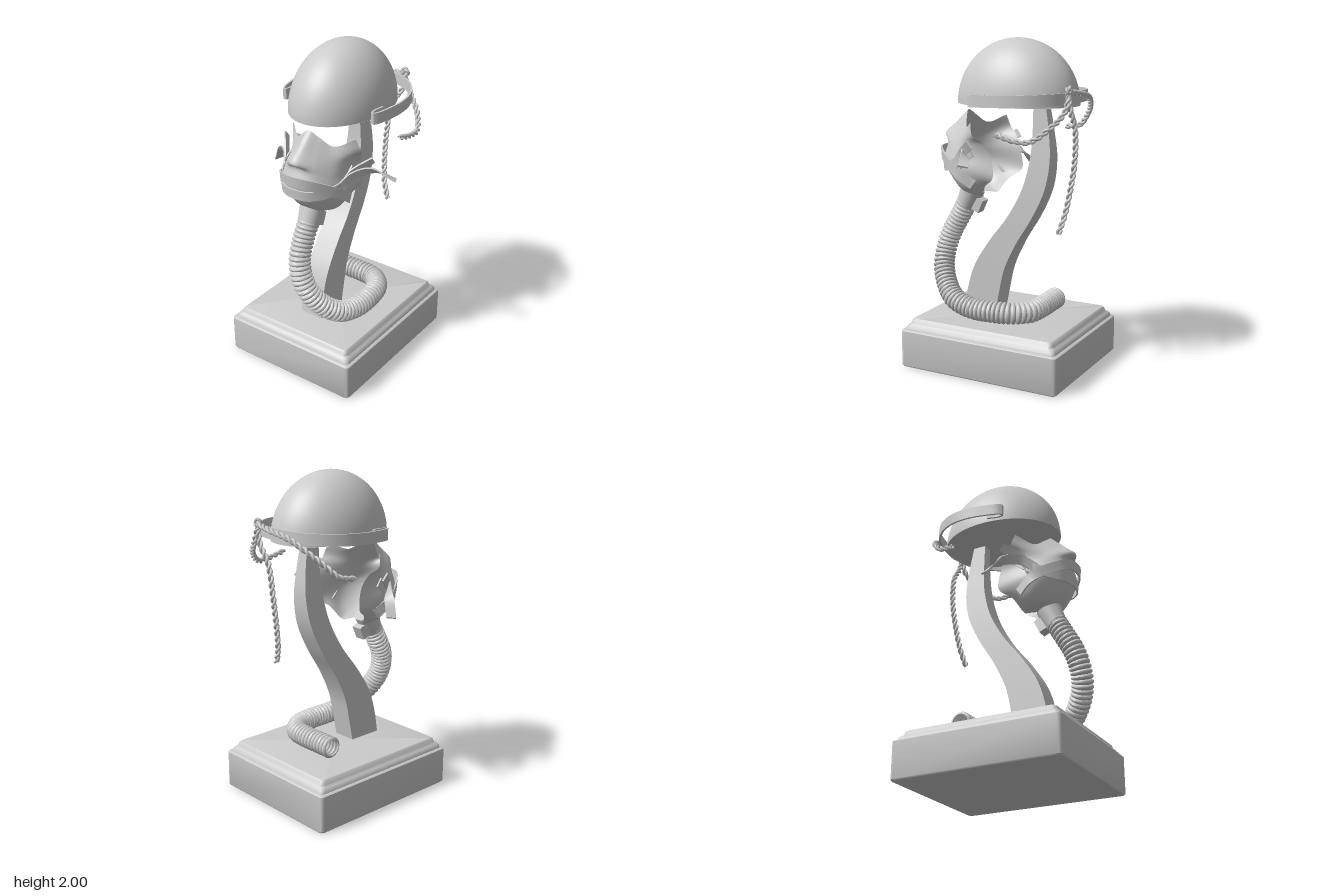
import * as THREE from 'three';
import { toCreasedNormals } from 'three/addons/utils/BufferGeometryUtils.js';

const V = (x, y, z) => new THREE.Vector3(x, y, z);
const material = new THREE.MeshStandardMaterial({ color: 0xcccccc, side: THREE.DoubleSide });
const spline = pts => new THREE.CatmullRomCurve3(pts.map(p => p.isVector3 ? p : V(...p)));

function add(parent, name, geometry) {
  const mesh = new THREE.Mesh(geometry, material);
  mesh.name = name;
  parent.add(mesh);
  return mesh;
}

// Skin a series of point rings; capped ends collapse to their centre
function loft(rings, { closed = true, capped = false, crease = 0.7 } = {}) {
  if (capped) {
    const cap = ring => {
      const c = V(0, 0, 0);
      ring.forEach(p => c.addScaledVector(p, 1 / ring.length));
      return ring.map(() => c);
    };
    rings = [cap(rings[0]), ...rings, cap(rings[rings.length - 1])];
  }
  const n = rings[0].length, index = [];
  for (let i = 0; i < rings.length - 1; i++) {
    for (let j = 0; j < (closed ? n : n - 1); j++) {
      const k = (j + 1) % n, a = i * n + j, b = i * n + k;
      index.push(a, b, b + n, a, b + n, a + n);
    }
  }
  const geometry = new THREE.BufferGeometry().setFromPoints(rings.flat());
  geometry.setIndex(index);
  return toCreasedNormals(geometry, crease);
}

// Flat band along a path, its width direction turning from up0 to up1
function ribbon(pts, width, up0 = V(0, 1, 0), up1 = up0, thick = 0.01, steps = 48) {
  const curve = spline(pts), rings = [];
  for (let i = 0; i <= steps; i++) {
    const p = curve.getPointAt(i / steps), t = curve.getTangentAt(i / steps);
    const u = up0.clone().lerp(up1, i / steps);
    u.addScaledVector(t, -u.dot(t)).normalize();
    const n = t.clone().cross(u);
    rings.push([[1, -1], [1, 1], [-1, 1], [-1, -1]].map(([a, b]) =>
      p.clone().addScaledVector(u, a * width / 2).addScaledVector(n, b * thick / 2)));
  }
  return loft(rings, { capped: true });
}

// Round tube whose radius follows a rule along its length
function hose(pts, steps, sides, radius) {
  const curve = spline(pts), f = curve.computeFrenetFrames(steps), rings = [];
  for (let i = 0; i <= steps; i++) {
    const p = curve.getPointAt(i / steps), r = radius(i / steps);
    rings.push(Array.from({ length: sides }, (_, j) => {
      const a = j / sides * Math.PI * 2;
      return p.clone().addScaledVector(f.normals[i], r * Math.cos(a))
        .addScaledVector(f.binormals[i], r * Math.sin(a));
    }));
  }
  return loft(rings, { crease: 1.2 });
}

// Two strands twisted around a path
function rope(parent, name, pts) {
  const curve = spline(pts), length = curve.getLength();
  const steps = Math.ceil(length / 0.012), f = curve.computeFrenetFrames(steps);
  for (const phase of [0, Math.PI]) {
    const strand = f.normals.map((n, i) => {
      const a = phase + i / steps * length / 0.085 * Math.PI * 2;
      return curve.getPointAt(i / steps).addScaledVector(n, 0.0095 * Math.cos(a))
        .addScaledVector(f.binormals[i], 0.0095 * Math.sin(a));
    });
    add(parent, name, new THREE.TubeGeometry(spline(strand), steps * 2, 0.009, 7));
  }
}

// Rectangle with rounded corners at height y
function roundedRing(hx, hz, r, y) {
  const ring = [];
  [[1, 1], [1, -1], [-1, -1], [-1, 1]].forEach(([sx, sz], q) => {
    for (let k = 0; k <= 4; k++) {
      const a = (q + k / 4) * Math.PI / 2;
      ring.push(V(sx * (hx - r) + r * Math.sin(a) - 0.005, y, sz * (hz - r) + r * Math.cos(a)));
    }
  });
  return ring;
}

export function createModel() {
  const model = new THREE.Group();

  // Plinth with moulded top edge
  const moulding = [[0.006, 0], [0, 0.008], [0, 0.228], [0.004, 0.232], [0.018, 0.235], [0.022, 0.25],
    [0.032, 0.262], [0.044, 0.27], [0.05, 0.29], [0.06, 0.3]];
  add(model, 'base', loft(moulding.map(([d, y]) => roundedRing(0.45 - d, 0.527 - d, 0.025, y)), { capped: true }));

  // Curved stand: height, front z, back z, half width
  const standRows = [[0.29, 0.288, 0.07, 0.075], [0.44, 0.262, 0.04, 0.075], [0.59, 0.215, 0.005, 0.075],
    [0.76, 0.11, -0.075, 0.074], [0.93, -0.02, -0.18, 0.072], [1.11, -0.115, -0.262, 0.065],
    [1.29, -0.16, -0.29, 0.053], [1.45, -0.17, -0.277, 0.04], [1.62, -0.17, -0.25, 0.03]];
  const fronts = spline(standRows.map(([y, f, , w]) => V(w, y, f)));
  const backs = spline(standRows.map(([y, , b, w]) => V(w, y, b)));
  const standRings = Array.from({ length: 41 }, (_, i) => {
    const f = fronts.getPoint(i / 40), b = backs.getPoint(i / 40);
    return [V(-f.x - 0.005, f.y, f.z), V(f.x - 0.005, f.y, f.z), V(b.x - 0.005, b.y, b.z), V(-b.x - 0.005, b.y, b.z)];
  });
  add(model, 'stand', loft(standRings, { capped: true }));

  // Helmet shell and its flat underside
  const helmet = add(model, 'helmetShell', new THREE.SphereGeometry(1, 64, 32, 0, Math.PI * 2, 0, Math.PI / 2));
  helmet.scale.set(0.283, 0.388, 0.385);
  helmet.position.set(-0.005, 1.612, -0.055);
  const underside = add(model, 'helmetUnderside', new THREE.CircleGeometry(1, 64).rotateX(Math.PI / 2));
  underside.scale.set(0.283, 1, 0.385);
  underside.position.set(-0.005, 1.611, -0.055);

  // Head band around the back, ends folded inwards
  const side = [[-0.315, 0], [-0.303, 0.075], [-0.315, 0.108], [-0.333, 0.09], [-0.355, 0],
    [-0.366, -0.11], [-0.345, -0.235], [-0.28, -0.345], [-0.17, -0.425]];
  const bandPts = [...side.map(([x, z]) => [x, 1.65 - z * 0.04, z]), [0, 1.67, -0.455],
    ...side.slice().reverse().map(([x, z]) => [-x - 0.008, 1.65 - z * 0.04, z])];
  add(model, 'headBand', ribbon(bandPts, 0.068, V(0, 1, 0), V(0, 1, 0), 0.012, 120));

  // Twisted cords with a knot at the back
  rope(model, 'rightCord', [[0.16, 1.71, -0.46], [0.03, 1.69, -0.475], [-0.12, 1.66, -0.46], [-0.23, 1.6, -0.425],
    [-0.31, 1.53, -0.37], [-0.36, 1.46, -0.3], [-0.375, 1.44, -0.2]]);
  rope(model, 'leftCord', [[0.15, 1.71, -0.46], [0.2, 1.6, -0.455], [0.29, 1.51, -0.4], [0.35, 1.44, -0.31],
    [0.365, 1.44, -0.23], [0.365, 1.47, -0.1]]);
  rope(model, 'hangingCord', [[0.17, 1.73, -0.455], [0.14, 1.6, -0.462], [0.07, 1.49, -0.46], [0.045, 1.3, -0.45],
    [0.05, 1.12, -0.425], [0.07, 0.97, -0.4], [0.11, 0.87, -0.38]]);
  const knot = add(model, 'cordKnot', new THREE.TorusKnotGeometry(0.016, 0.009, 48, 7));
  knot.position.set(0.16, 1.715, -0.46);

  // Face mask: rows from brow to chin, each centre, inner, outer, rear edge
  const mask = new THREE.Group();
  mask.name = 'faceMask';
  model.add(mask);
  const maskRows = [
    [[0, 1.56, 0.285], [0.06, 1.52, 0.265], [0.13, 1.47, 0.225], [0.225, 1.51, 0.145]],
    [[0, 1.48, 0.37], [0.07, 1.45, 0.325], [0.145, 1.41, 0.255], [0.245, 1.43, 0.12]],
    [[0, 1.405, 0.445], [0.09, 1.385, 0.375], [0.16, 1.35, 0.27], [0.215, 1.39, 0.07]],
    [[0, 1.37, 0.4], [0.09, 1.345, 0.385], [0.17, 1.31, 0.28], [0.19, 1.31, 0.03]],
    [[0, 1.27, 0.428], [0.11, 1.26, 0.395], [0.195, 1.23, 0.26], [0.19, 1.18, 0.016]],
    [[0, 1.16, 0.385], [0.1, 1.15, 0.35], [0.175, 1.12, 0.22], [0.15, 1.12, 0.09]],
    [[0, 1.08, 0.32], [0.07, 1.07, 0.295], [0.125, 1.065, 0.22], [0.1, 1.05, 0.13]],
    [[0, 1.05, 0.24], [0.03, 1.05, 0.23], [0.06, 1.045, 0.19], [0.08, 1.04, 0.14]]];
  const across = maskRows.map(row => spline(
    [...row.slice(1).reverse().map(([x, y, z]) => [-x, y, z]), ...row]));
  const columns = Array.from({ length: 41 }, (_, j) => spline(across.map(c => c.getPoint(j / 40))));
  const maskRings = Array.from({ length: 43 }, (_, i) => columns.map(c => c.getPoint(i / 42)));
  add(mask, 'maskShell', loft(maskRings, { closed: false, crease: 1 }).rotateY(0));

  // Crossing mask straps
  const mirrored = half => [...half.slice(1).reverse().map(([x, y, z]) => [-x, y, z]), ...half];
  add(mask, 'upperStrap', ribbon(mirrored([[0, 1.305, 0.45], [0.08, 1.3, 0.432], [0.15, 1.265, 0.365],
    [0.212, 1.2, 0.25], [0.19, 1.13, 0.15]]), 0.062, V(0, 1, 0.1)));
  add(mask, 'lowerStrap', ribbon(mirrored([[0, 1.215, 0.43], [0.08, 1.215, 0.415], [0.155, 1.225, 0.35],
    [0.212, 1.26, 0.25], [0.215, 1.33, 0.15]]), 0.06, V(0, 1, 0.1)));

  // Loose strap ends on both sides
  const flat = V(0, 0.35, 1), up = V(0, 1, 0);
  add(mask, 'leftStrapTail', ribbon([[0.2, 1.24, 0.27], [0.25, 1.31, 0.2], [0.33, 1.335, 0.12], [0.45, 1.285, 0.065]], 0.058, up, flat));
  add(mask, 'rightStrapTail', ribbon([[-0.2, 1.26, 0.27], [-0.25, 1.305, 0.2], [-0.34, 1.28, 0.11], [-0.425, 1.175, 0.045]], 0.058, up, flat));
  for (const s of [1, -1]) {
    add(mask, 'strapStub', ribbon([[s * 0.205, 1.24, 0.24], [s * 0.235, 1.32, 0.2], [s * 0.315, 1.39, 0.1]], 0.055,
      V(0, 1, 0.3), V(s * 0.3, 1, 0.4)));
  }

  // Collar and valve under the chin
  const collar = add(mask, 'hoseCollar', new THREE.CylinderGeometry(0.077, 0.064, 0.135, 32));
  collar.position.set(0, 1.015, 0.284);
  collar.rotation.x = -0.42;
  const valve = add(mask, 'valve', new THREE.BoxGeometry(0.07, 0.085, 0.07));
  valve.position.set(0, 0.973, 0.222);
  valve.rotation.x = -0.42;

  // Ribbed hose curling round the stand
  const ribs = 58;
  add(model, 'ribbedHose', hose([[0, 0.98, 0.302], [0, 0.88, 0.357], [0.012, 0.78, 0.408], [0.04, 0.68, 0.432],
    [0.085, 0.58, 0.425], [0.145, 0.48, 0.37], [0.205, 0.405, 0.275], [0.232, 0.372, 0.14], [0.235, 0.37, 0],
    [0.205, 0.37, -0.13], [0.13, 0.37, -0.205], [0.02, 0.37, -0.222], [-0.1, 0.37, -0.222], [-0.21, 0.37, -0.222]],
    ribs * 8, 28, t => 0.051 + 0.016 * Math.sqrt(Math.abs(Math.sin(t * ribs * Math.PI)))));

  return model;
}
